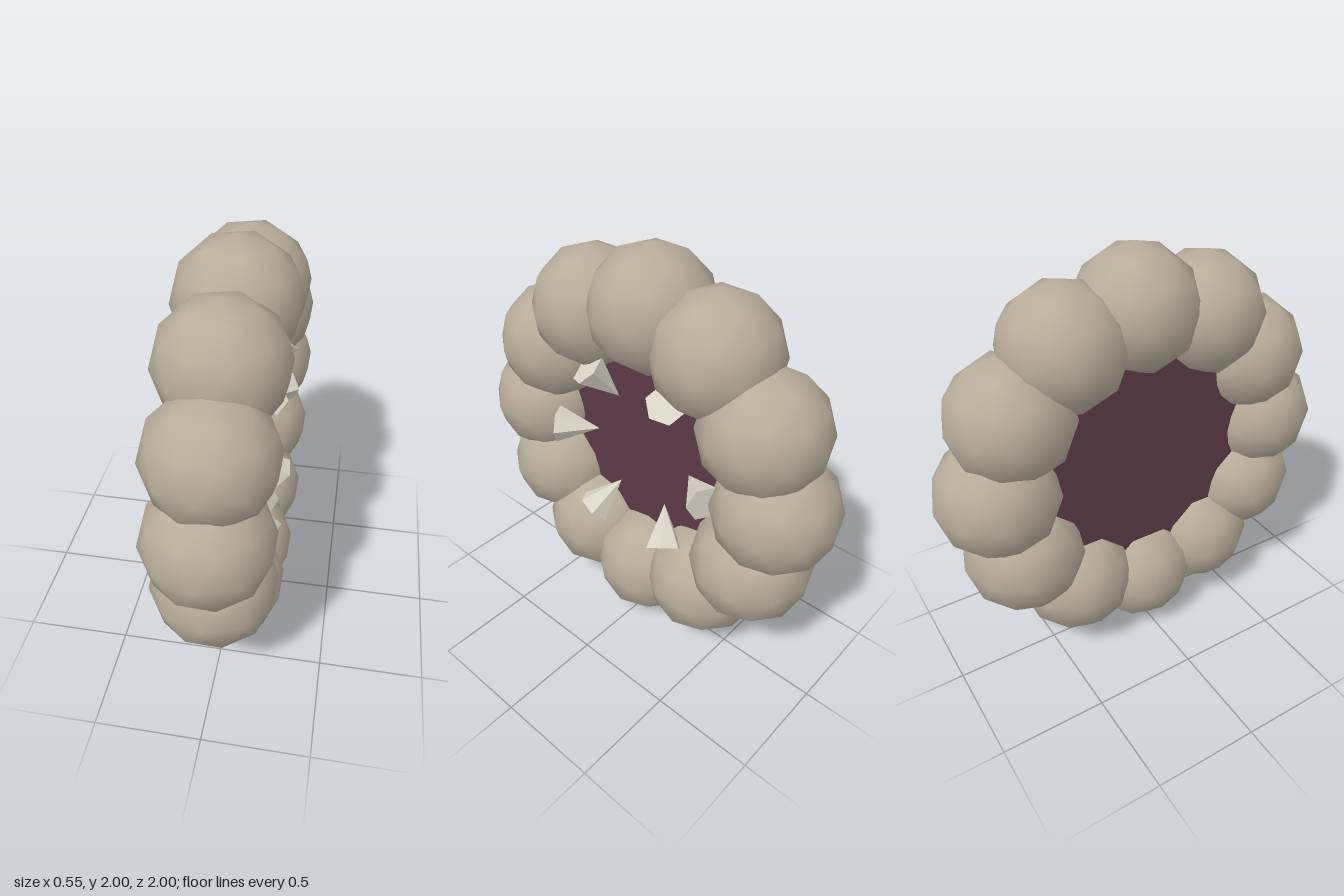
import * as THREE from 'three';

const RING = 0.71; // distance of the lobe centres from the hub
const LOBE = 0.29; // lobe radius

export function createModel() {
  const stone = new THREE.MeshStandardMaterial({ color: 0xb9ad9b });
  stone.name = 'stone';
  const maroon = new THREE.MeshStandardMaterial({ color: 0x5c3a46 });
  maroon.name = 'maroon';
  const ivory = new THREE.MeshStandardMaterial({ color: 0xd9d5c6, flatShading: true });
  ivory.name = 'ivory';

  const model = new THREE.Group();
  model.name = 'toothedRing';
  const body = new THREE.Group();
  body.name = 'body';
  body.position.y = 1;
  model.add(body);

  const add = (name, geometry, material) => {
    const mesh = new THREE.Mesh(geometry, material);
    mesh.name = name;
    body.add(mesh);
    return mesh;
  };

  // Ring of twelve smooth low-poly lobes, each with a vertex pointing up
  const lobeGeometry = new THREE.IcosahedronGeometry(LOBE, 1);
  lobeGeometry.rotateZ(-Math.atan(2 / (1 + Math.sqrt(5))));
  for (let i = 0; i < 12; i++) {
    const a = (i * Math.PI) / 6;
    add('lobe' + (i + 1), lobeGeometry, stone)
      .position.set(0, RING * Math.sin(a), RING * Math.cos(a));
  }

  // Membrane closing the opening, its rim buried in the lobes
  const membrane = new THREE.CylinderGeometry(0.52, 0.52, 0.15, 24);
  membrane.rotateZ(Math.PI / 2);
  add('membrane', membrane, maroon).position.x = -0.045;

  // Six teeth on the left side, tips leaning inward towards the hub
  const toothGeometry = new THREE.ConeGeometry(0.09, 0.21, 6);
  const up = new THREE.Vector3(0, 1, 0);
  for (let i = 0; i < 6; i++) {
    const a = (i * Math.PI) / 3;
    const at = (x, r) => new THREE.Vector3(x, r * Math.sin(a), r * Math.cos(a));
    const tip = at(0.07, 0.285);
    const base = at(0.175, 0.465);
    const tooth = add('tooth' + (i + 1), toothGeometry, ivory);
    tooth.position.copy(tip).add(base).multiplyScalar(0.5);
    tooth.quaternion.setFromUnitVectors(up, tip.sub(base).normalize());
  }

  return model;
}
